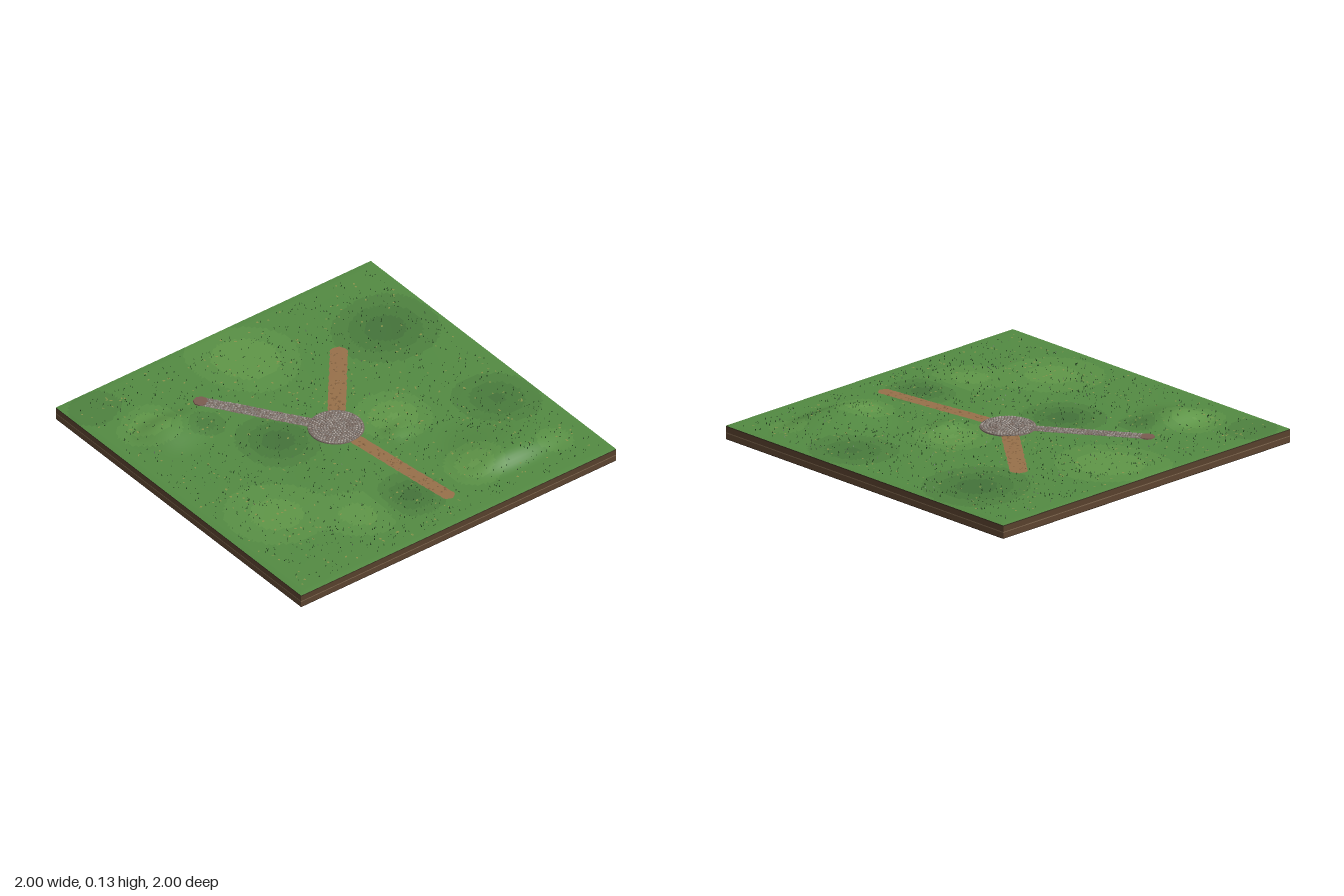
import * as THREE from 'three';
import { mergeGeometries } from 'three/addons/utils/BufferGeometryUtils.js';

const TOP = 0.074;

// Seeded random numbers
let seed = 7;
const rand = (a = 0, b = 1) => {
  seed = (seed * 1664525 + 1013904223) % 4294967296;
  return a + (b - a) * (seed / 4294967296);
};

// Hills: centre x, z, reach to -x, +x, -z, +z, height
const hills = [
  [0.52, 0.71, 0.32, 0.45, 0.4, 0.14, 0.046],
  [-0.7, -0.51, 0.2, 0.32, 0.14, 0.26, 0.039],
  [0.21, 0.22, 0.1, 0.16, 0.1, 0.1, 0.017],
  [-0.15, 0.3, 0.4, 0.3, 0.3, 0.3, 0.004],
];
const ease = (t) => (t >= 1 ? 0 : 0.5 + 0.5 * Math.cos(Math.PI * t));

function height(x, z) {
  let y = TOP;
  for (const [cx, cz, l, r, b, f, h] of hills) {
    const dx = (x - cx) / (x < cx ? l : r), dz = (z - cz) / (z < cz ? b : f);
    y += h * ease(Math.hypot(dx, dz));
  }
  const edge = Math.min(1, 4 * (1 - Math.max(Math.abs(x), Math.abs(z))));
  return y + 0.0012 * edge * Math.sin(9 * x + 2) * Math.sin(8 * z + 1);
}

// Light and dark patches of grass: x, z, radius, strength
const patches = [
  [0, -0.75, 0.4, 1], [-0.7, 0.38, 0.38, 0.9], [0.3, 0.1, 0.28, 1], [-0.35, 0.65, 0.28, 0.8],
  [0.35, 0.68, 0.22, 1], [-0.72, -0.58, 0.25, 1], [0.8, 0.75, 0.2, 0.5],
  [0.72, -0.5, 0.38, -1.3], [-0.3, -0.1, 0.3, -1.2], [0.8, 0.3, 0.3, -1.1], [-0.05, 0.68, 0.25, -1.1],
  [-0.85, -0.85, 0.25, -0.6], [-0.5, -0.42, 0.15, -0.8],
];
const tones = [0x44733a, 0x497b3c, 0x4e823f, 0x538a42, 0x599045, 0x5f9648, 0x659b4c];

function tone(x, z) {
  let t = 0.1 * Math.sin(7 * x + 3 * z) * Math.cos(6 * z - x);
  for (const [cx, cz, r, s] of patches) t += s * ease(Math.hypot(x - cx, z - cz) / r);
  return THREE.MathUtils.clamp(Math.round(3 + 2.4 * t), 0, tones.length - 1);
}

const paths = [
  { name: 'frontDirtPath', to: [0.095, 0.79], half: 0.037, color: 0x97704a },
  { name: 'backDirtPath', to: [0.4, -0.49], half: 0.046, color: 0x97704a },
  { name: 'stonePath', to: [-0.4, -0.59], half: 0.037, color: 0x7d7067 },
];

// True where a plant would stand on a path or the plaza
function onPath(x, z) {
  if (Math.hypot(x, z) < 0.15) return true;
  return paths.some(({ to: [ex, ez], half }) => {
    const t = THREE.MathUtils.clamp((x * ex + z * ez) / (ex * ex + ez * ez), 0, 1);
    return Math.hypot(x - t * ex, z - t * ez) < half + 0.006;
  });
}

function add(parent, name, geometry, color, options = {}) {
  const mesh = new THREE.Mesh(geometry, new THREE.MeshStandardMaterial({ color, ...options }));
  mesh.name = name;
  parent.add(mesh);
  return mesh;
}

// One merged mesh from many placed copies of a small shape
function scatter(parent, name, shape, spots, color) {
  const o = new THREE.Object3D();
  const copies = spots.map(({ p, s, r = [0, 0, 0] }) => {
    o.position.set(...p);
    o.scale.set(...s);
    o.rotation.set(...r);
    o.updateMatrix();
    return shape.clone().applyMatrix4(o.matrix);
  });
  add(parent, name, mergeGeometries(copies), color, { flatShading: true, side: THREE.DoubleSide });
}

// Rounded ribbon that follows the ground
function ribbon({ to: [ex, ez], half }) {
  const len = Math.hypot(ex, ez), dx = ex / len, dz = ez / len;
  const pos = [], index = [], n = 48, across = 4;
  for (let i = 0; i <= n; i++) {
    const d = (i / n) * (len + half);
    const cap = Math.max(0, (d - len) / half);
    const w = half * Math.sqrt(Math.max(0, 1 - cap * cap)) * rand(0.93, 1.05);
    for (let j = 0; j <= across; j++) {
      const s = w * ((2 * j) / across - 1);
      const x = d * dx - s * dz, z = d * dz + s * dx;
      pos.push(x, height(x, z) + 0.0025, z);
      if (i < n && j < across) {
        const a = i * (across + 1) + j, b = a + across + 1;
        index.push(a, a + 1, b, b, a + 1, b + 1);
      }
    }
  }
  const g = new THREE.BufferGeometry();
  g.setAttribute('position', new THREE.Float32BufferAttribute(pos, 3));
  g.setIndex(index);
  g.computeVertexNormals();
  return g;
}

export function createModel() {
  seed = 7;
  const model = new THREE.Group();
  model.name = 'meadowTile';

  // Layered earth slab: name, bottom, top, colour
  const slab = new THREE.Group();
  slab.name = 'earthSlab';
  model.add(slab);
  for (const [name, y0, y1, color] of [
    ['underside', 0, 0.003, 0x2e2218], ['lowerSoil', 0.003, 0.032, 0x5f4631],
    ['paleSeam', 0.032, 0.037, 0x80684f], ['upperSoil', 0.037, 0.066, 0x5a422e],
    ['darkTopsoil', 0.066, 0.0715, 0x3d3322],
  ]) add(slab, name, new THREE.BoxGeometry(2, y1 - y0, 2).translate(0, (y0 + y1) / 2, 0), color);

  // Ground surface, split into green tones
  const ground = new THREE.Group();
  ground.name = 'grassGround';
  model.add(ground);
  const grid = new THREE.PlaneGeometry(2, 2, 100, 100).rotateX(-Math.PI / 2);
  const p = grid.attributes.position;
  for (let i = 0; i < p.count; i++) {
    const x = p.getX(i), z = p.getZ(i);
    const rim = Math.max(Math.abs(x), Math.abs(z)) > 0.999;
    p.setY(i, rim ? 0.0715 : height(x, z));
  }
  grid.computeVertexNormals();
  const faces = tones.map(() => []);
  const idx = grid.index.array;
  for (let i = 0; i < idx.length; i += 3) {
    const tri = [idx[i], idx[i + 1], idx[i + 2]];
    const mid = (get) => tri.reduce((sum, v) => sum + get(v), 0) / 3;
    faces[tone(mid((v) => p.getX(v)), mid((v) => p.getZ(v)))].push(...tri);
  }
  faces.forEach((list, i) => {
    if (!list.length) return;
    const g = new THREE.BufferGeometry();
    g.setAttribute('position', p);
    g.setAttribute('normal', grid.attributes.normal);
    g.setIndex(list);
    add(ground, 'grassTone' + (i + 1), g, tones[i]);
  });

  // Paths
  for (const path of paths) add(model, path.name, ribbon(path), path.color, { side: THREE.DoubleSide });

  // Darker clods on the dirt paths
  const pebble = new THREE.IcosahedronGeometry(1, 0);
  const clods = [];
  for (const { to: [ex, ez], half } of paths.slice(0, 2)) {
    const len = Math.hypot(ex, ez);
    for (let i = 0; i < 45; i++) {
      const t = rand(0.2, 1), s = rand(-0.85, 0.85) * half / len;
      const x = t * ex - s * ez, z = t * ez + s * ex, r = rand(0.004, 0.009);
      clods.push({ p: [x, height(x, z) + 0.0025, z], s: [r, 0.0012, r], r: [0, rand(0, 6), 0] });
    }
  }
  scatter(model, 'dirtClods', pebble, clods, 0x84613e);

  // Round plaza and the step at the end of the stone path
  add(model, 'plazaBase', new THREE.CylinderGeometry(0.142, 0.145, 0.014, 40).translate(0, 0.073, 0), 0x776a62);
  const end = [-0.4, -0.59];
  add(model, 'pathEndStep', new THREE.CylinderGeometry(0.038, 0.04, 0.012, 8)
    .translate(end[0], height(...end), end[1]), 0x7a5c50);

  // Cobbles: rings on the plaza, rows on the stone path
  const cobbles = [[], [], []];
  const cobble = (x, y, z, r, turn) => cobbles[Math.floor(rand(0, 3))].push({
    p: [x, y, z], s: [r * rand(0.85, 1.1), 0.0035, r * rand(0.85, 1.1)], r: [0, turn + rand(-0.3, 0.3), 0],
  });
  for (let ring = 0; ring < 10; ring++) {
    const r = ring * 0.0147, n = Math.max(1, Math.round((2 * Math.PI * r) / 0.0155));
    for (let i = 0; i < n; i++) {
      const a = (i / n) * 2 * Math.PI + ring;
      cobble(r * Math.cos(a), 0.081, r * Math.sin(a), 0.0072, -a);
    }
  }
  const len = Math.hypot(...end), ux = end[0] / len, uz = end[1] / len;
  for (let d = 0.15; d < len - 0.035; d += 0.0135) {
    for (let j = -2; j <= 2; j++) {
      const e = d + rand(-0.003, 0.003), s = j * 0.0145 + rand(-0.003, 0.003);
      const x = e * ux - s * uz, z = e * uz + s * ux;
      cobble(x, height(x, z) + 0.0035, z, 0.0075, 0);
    }
  }
  ['greyCobbles', 'paleCobbles', 'warmCobbles'].forEach((name, i) =>
    scatter(model, name, pebble, cobbles[i], [0x857d78, 0x9a918a, 0x7c6d65][i]));

  // Grass tufts and small flecks of dry leaf
  const plants = (count, make) => {
    const spots = [];
    while (spots.length < count) {
      const x = rand(-0.95, 0.95), z = rand(-0.95, 0.95);
      if (!onPath(x, z)) spots.push(make(x, height(x, z), z));
    }
    return spots;
  };
  const blade = new THREE.ConeGeometry(1, 1, 3, 1, true).translate(0, 0.5, 0);
  const tuft = (x, y, z) => {
    const w = rand(0.002, 0.0045);
    return { p: [x, y - 0.001, z], s: [w, rand(0.006, 0.014), w], r: [rand(-0.25, 0.25), rand(0, 6), rand(-0.25, 0.25)] };
  };
  scatter(model, 'darkGrassTufts', blade, plants(1100, tuft), 0x23431f);
  scatter(model, 'greenGrassTufts', blade, plants(500, tuft), 0x3a6a30);
  const fleck = new THREE.CircleGeometry(1, 5).rotateX(-Math.PI / 2);
  scatter(model, 'dryLeaves', fleck, plants(320, (x, y, z) => ({
    p: [x, y + 0.002, z], s: [rand(0.004, 0.01), 1, rand(0.003, 0.007)], r: [0, rand(0, 6), 0],
  })), 0x86934a);

  return model;
}
